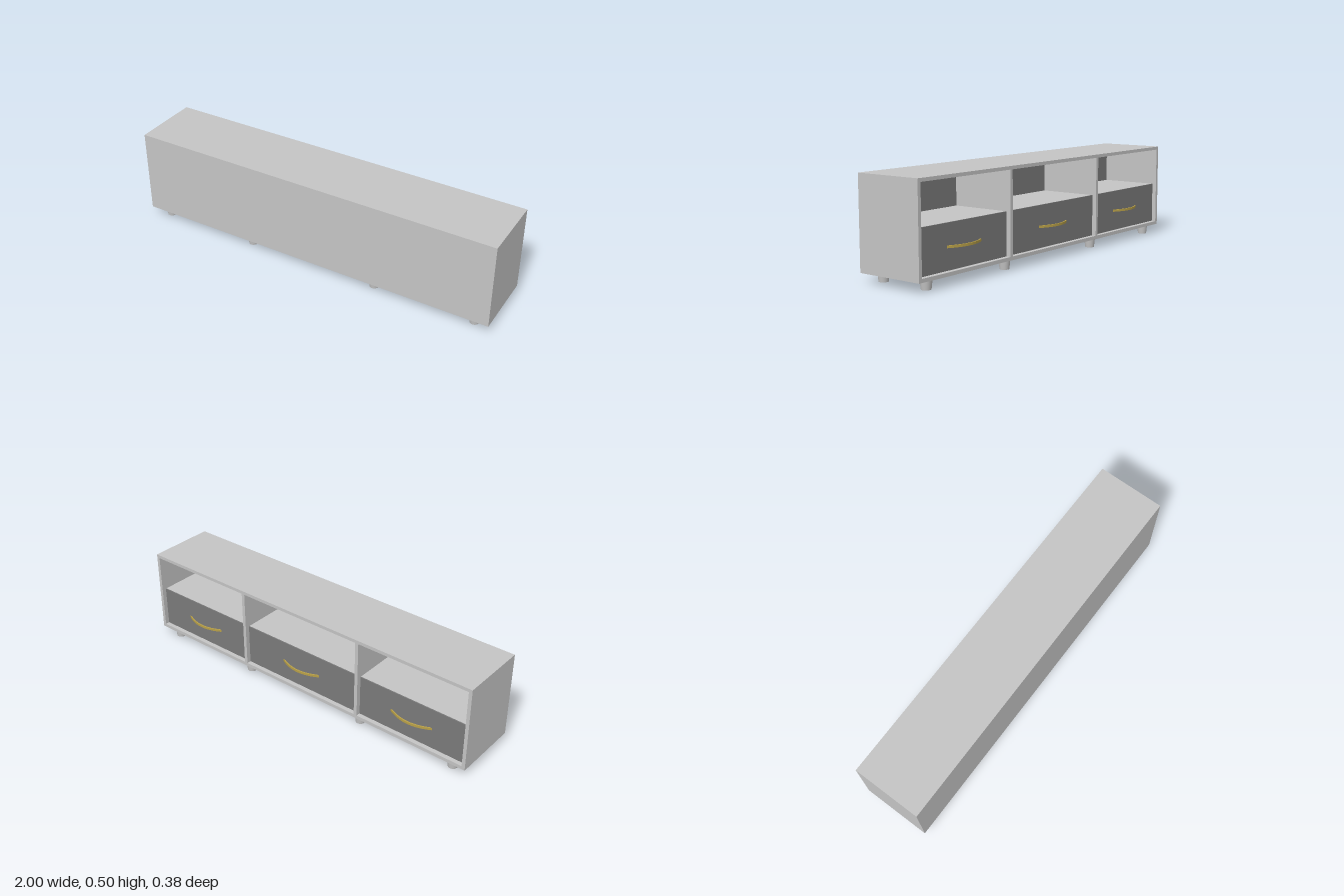
import * as THREE from 'three';

export function createModel() {
  const panel = new THREE.MeshStandardMaterial({ color: 0xc4c4c4 });
  panel.name = 'light grey panel';
  const dark = new THREE.MeshStandardMaterial({ color: 0x7a7a7a });
  dark.name = 'dark grey front';
  const brass = new THREE.MeshStandardMaterial({ color: 0xb8a048 });
  brass.name = 'brass';

  const group = new THREE.Group();
  group.name = 'lowCabinet';

  // Box given by its minimum and maximum corners
  const box = (name, mat, [x0, y0, z0], [x1, y1, z1]) => {
    const mesh = new THREE.Mesh(new THREE.BoxGeometry(x1 - x0, y1 - y0, z1 - z0), mat);
    mesh.position.set((x0 + x1) / 2, (y0 + y1) / 2, (z0 + z1) / 2);
    mesh.name = name;
    group.add(mesh);
  };

  const T = 0.018; // board thickness
  const OPEN = -0.175, BACK = 0.188; // depth range, open side at -z
  const LOW = 0.065, HIGH = 0.483; // inner height range
  const DIVIDER = 0.365, SHELF = 0.283;

  // Carcass
  box('topPanel', panel, [-1, HIGH, OPEN], [1, 0.5, BACK]);
  box('bottomPanel', panel, [-1, 0.047, OPEN], [1, LOW, BACK]);
  box('closedPanel', panel, [-1 + T, LOW, BACK - T], [1 - T, HIGH, BACK]);
  for (const s of [-1, 1]) {
    const x = s * (1 - T / 2);
    box('sidePanel', panel, [x - T / 2, LOW, OPEN], [x + T / 2, HIGH, BACK]);
    const d = s * DIVIDER;
    box('divider', panel, [d - T / 2, LOW, OPEN], [d + T / 2, HIGH, BACK - T]);
  }

  // Bowed handle, a flat strip following a shallow arc
  const bow = new THREE.Shape();
  const half = 0.118, steps = 16;
  const arc = (t) => 0.187 - 0.034 * t * t;
  for (let i = 0; i <= steps; i++) {
    const t = -1 + (2 * i) / steps;
    if (i === 0) bow.moveTo(half * t, arc(t));
    else bow.lineTo(half * t, arc(t));
  }
  for (let i = steps; i >= 0; i--) {
    const t = -1 + (2 * i) / steps;
    bow.lineTo(half * t, arc(t) - 0.007);
  }
  const handleGeo = new THREE.ExtrudeGeometry(bow, { depth: 0.012, bevelEnabled: false });
  handleGeo.rotateX(-Math.PI / 2);

  // Three bays, each with a drawer, a dark lining and a handle
  const bays = [
    [-1 + T, -DIVIDER - T / 2],
    [-DIVIDER + T / 2, DIVIDER - T / 2],
    [DIVIDER + T / 2, 1 - T],
  ];
  for (const [x0, x1] of bays) {
    box('drawerBody', panel, [x0, LOW, -0.147], [x1, SHELF, BACK - T]);
    box('drawerFront', dark, [x0 + 0.002, LOW + 0.001, -0.153], [x1 - 0.002, SHELF, -0.147]);
    box('bayLining', dark, [x0, SHELF, BACK - T - 0.004], [x1, HIGH, BACK - T]);
    const handle = new THREE.Mesh(handleGeo, brass);
    handle.name = 'handle';
    handle.position.set((x0 + x1) / 2, 0.168, 0);
    group.add(handle);
  }

  // Tapered feet
  const footGeo = new THREE.CylinderGeometry(0.029, 0.0235, 0.047, 32);
  for (const x of [-0.91, -0.365, 0.365, 0.91]) {
    for (const z of [-0.13, 0.133]) {
      const foot = new THREE.Mesh(footGeo, panel);
      foot.name = 'foot';
      foot.position.set(x, 0.0235, z);
      group.add(foot);
    }
  }

  return group;
}
